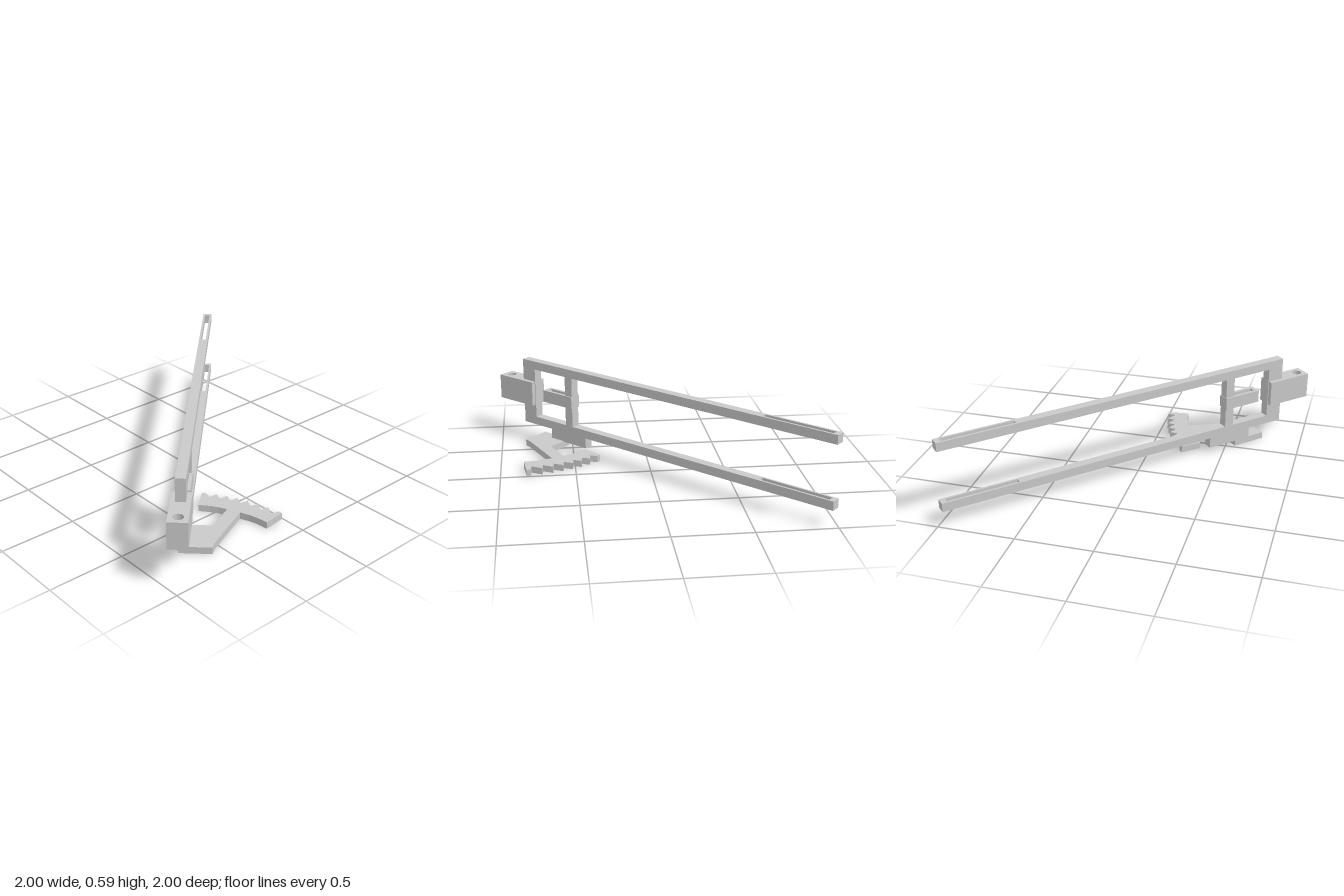
import * as THREE from 'three';

const grey = new THREE.MeshStandardMaterial({ color: 0xc9c9c9 });
grey.name = 'plain grey';

// Horizontal slab from a plan outline of [x, z] points, between two heights
function slab(name, points, y0, y1, holes = []) {
  const toVec = ([x, z]) => new THREE.Vector2(x, -z);
  const shape = new THREE.Shape(points.map(toVec));
  for (const h of holes) shape.holes.push(h instanceof THREE.Path ? h : new THREE.Path(h.map(toVec)));
  const geo = new THREE.ExtrudeGeometry(shape, { depth: y1 - y0, bevelEnabled: false, curveSegments: 16 });
  geo.rotateX(-Math.PI / 2);
  geo.translate(0, y0, 0);
  const mesh = new THREE.Mesh(geo, grey);
  mesh.name = name;
  return mesh;
}

// Plan rectangle, counter-clockwise from above: x range and half width in z
const rect = (x0, x1, w) => [[x0, w], [x1, w], [x1, -w], [x0, -w]];

// Sector outline: mounting foot, spoke and toothed rim
function sectorOutline() {
  const tips = new THREE.QuadraticBezierCurve(
    new THREE.Vector2(-0.205, 0.345), new THREE.Vector2(-0.0525, 0.5275), new THREE.Vector2(-0.012, 0.8));
  const points = [
    [-0.73, 0.69], [-0.585, 0.83], [-0.545, 0.803],
    [-0.2, 0.655], [-0.178, 0.71], [-0.162, 0.77], [-0.155, 0.845], [-0.008, 0.828],
  ];
  // Saw teeth, from the near end of the rim to the far end
  const teeth = 8;
  for (let i = teeth - 1; i >= 0; i--) {
    const p = tips.getPoint(i / (teeth - 1));
    points.push([p.x, p.y]);
    if (i > 0) points.push([p.x - 0.055, p.y - 0.006]);
  }
  points.push([-0.225, 0.325], [-0.335, 0.42], [-0.29, 0.475], [-0.258, 0.525], [-0.235, 0.575],
    [-0.425, 0.655], [-0.51, 0.57], [-0.565, 0.522]);
  return points;
}

export function createModel() {
  const model = new THREE.Group();
  model.name = 'slottedForkLever';

  // The fork lies along the diagonal
  const fork = new THREE.Group();
  fork.name = 'fork';
  fork.rotation.y = Math.PI / 4;
  model.add(fork);

  const w = 0.031;
  // Two long arms with a slot near the free end
  for (const [name, y0, y1] of [['lowerArm', 0.113, 0.172], ['upperArm', 0.527, 0.586]]) {
    fork.add(slab(name, rect(-1.143, 1.383, w), y0, y1, [rect(0.866, 1.347, 0.017)]));
  }

  // Uprights joining the arms
  fork.add(slab('endUpright', rect(-1.143, -1.029, w), 0.172, 0.527));
  fork.add(slab('middleUpright', rect(-0.74, -0.676, w), 0.172, 0.527));

  // Pivot block with a vertical bore
  const bore = new THREE.Path();
  bore.absarc(-1.296, 0, 0.032, 0, Math.PI * 2);
  fork.add(slab('pivotBlock', rect(-1.354, -1.034, 0.06), 0.262, 0.436, [bore]));

  // Small slotted block on the middle upright
  fork.add(slab('slottedBlock', rect(-0.943, -0.674, 0.04), 0.307, 0.392, [rect(-0.915, -0.745, 0.018)]));

  // Spacer between the lower arm and the sector
  fork.add(slab('spacer', rect(-0.881, -0.556, w), 0.04, 0.113));

  // Toothed sector
  model.add(slab('toothedSector', sectorOutline(), 0, 0.045));

  return model;
}
